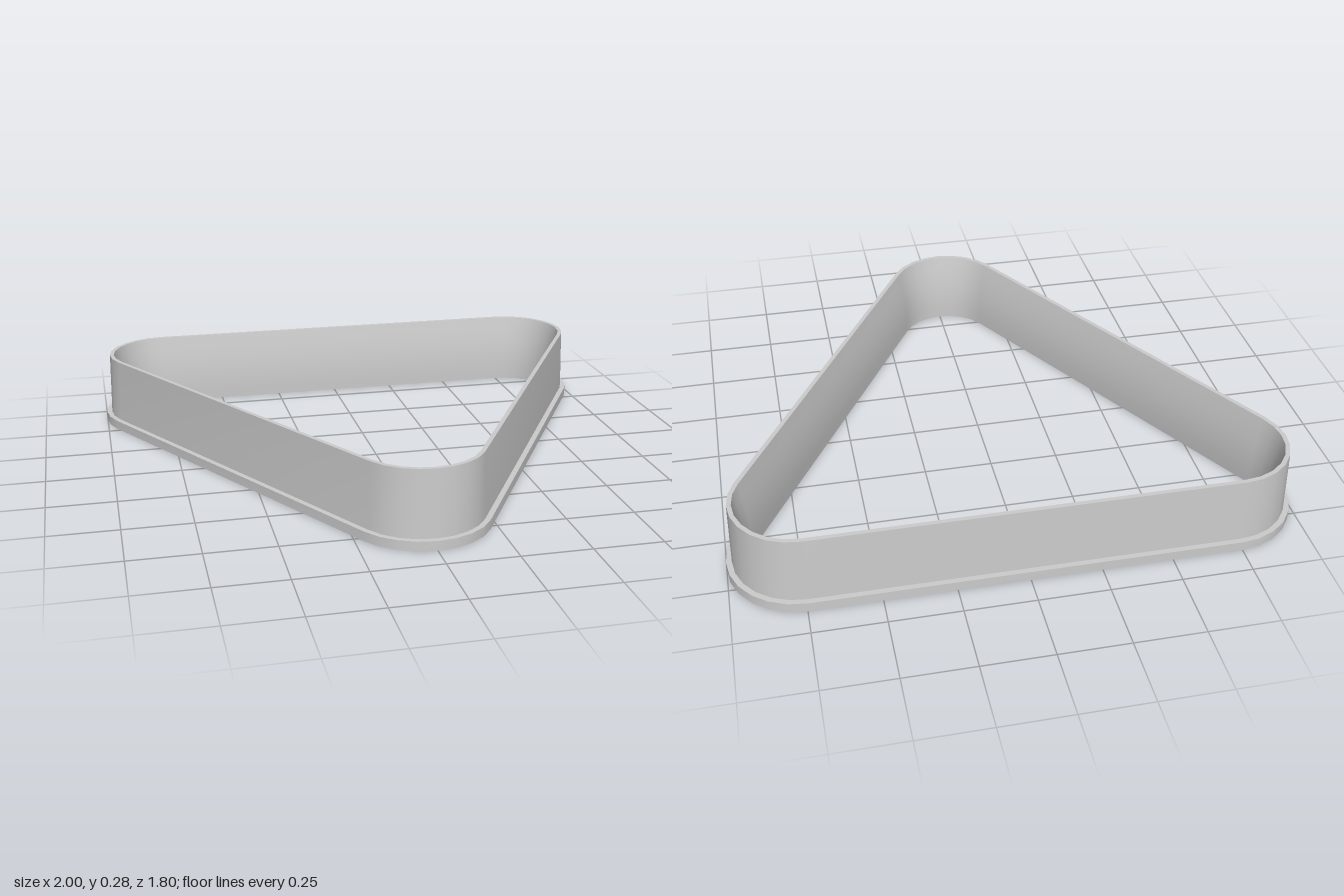
import * as THREE from 'three';
import { toCreasedNormals } from 'three/addons/utils/BufferGeometryUtils.js';

const R = 0.254;      // outer corner radius
const STEPS = 8;      // segments per rounded corner

// Corner centres of the rounded triangle with the start angle of each arc
const corners = [
  [0.746, -0.646, -90],
  [0, 0.646, 30],
  [-0.746, -0.646, 150],
];

// Cross-section as [inset from outer edge, height]: up the outside, down the inside
const profile = [
  [0, 0], [0, 0.035], [0.02, 0.035], [0.026, 0.278],
  [0.042, 0.278], [0.052, 0.23], [0.061, 0.18], [0.067, 0.13],
  [0.07, 0.08], [0.07, 0.04], [0.069, 0],
];

// Sweeps the closed cross-section around the rounded triangle
function sweepTriangle(section) {
  const path = [];
  for (const [cx, cz, start] of corners) {
    for (let s = 0; s <= STEPS; s++) {
      path.push([cx, cz, THREE.MathUtils.degToRad(start + (120 * s) / STEPS)]);
    }
  }
  const positions = [];
  const indices = [];
  const n = section.length;
  path.forEach(([cx, cz, t], i) => {
    const next = (i + 1) % path.length;
    section.forEach(([inset, y], j) => {
      positions.push(cx + (R - inset) * Math.cos(t), y, cz + (R - inset) * Math.sin(t));
      const k = (j + 1) % n;
      const a = i * n + j, b = next * n + j, c = i * n + k, d = next * n + k;
      indices.push(a, c, b, b, c, d);
    });
  });
  const geometry = new THREE.BufferGeometry();
  geometry.setAttribute('position', new THREE.Float32BufferAttribute(positions, 3));
  geometry.setIndex(indices);
  return toCreasedNormals(geometry, THREE.MathUtils.degToRad(35));
}

export function createModel() {
  const group = new THREE.Group();
  group.name = 'triangleRack';
  // Tapered wall and its foot flange form one continuous frame
  const frame = new THREE.Mesh(
    sweepTriangle(profile),
    new THREE.MeshStandardMaterial({ color: 0xcccccc }),
  );
  frame.name = 'frame';
  group.add(frame);
  return group;
}
